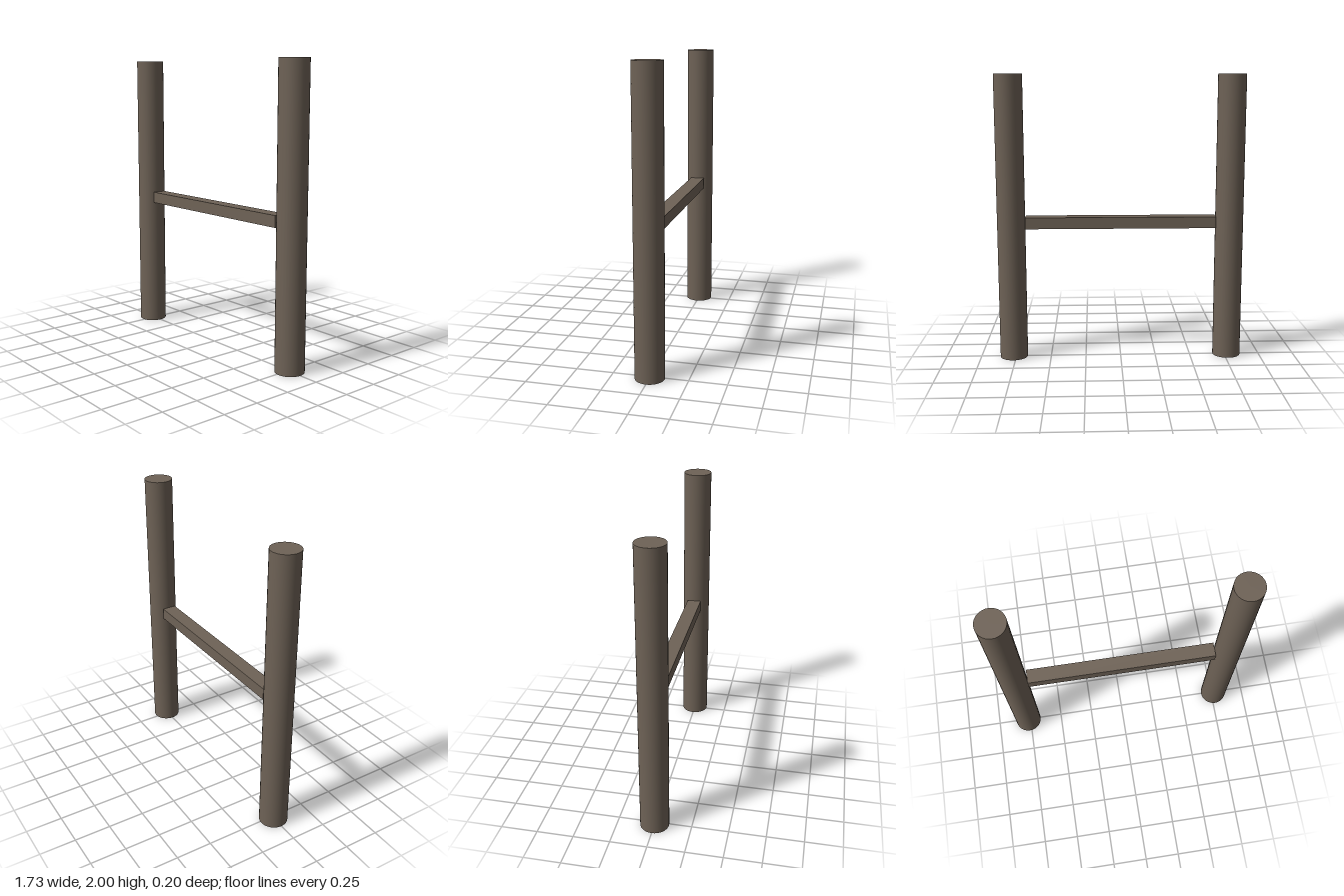
import * as THREE from 'three';

export function createModel() {
  const model = new THREE.Group();
  model.name = 'postsWithCrossbar';

  const wood = new THREE.MeshStandardMaterial({ color: 0x6e6256 });
  wood.name = 'weathered brown';

  // Two round posts, mirrored about x = 0
  const postGeometry = new THREE.CylinderGeometry(0.098, 0.098, 2, 32);
  for (const side of [1, -1]) {
    const post = new THREE.Mesh(postGeometry, wood);
    post.name = side > 0 ? 'leftPost' : 'rightPost';
    post.position.set(side * 0.766, 1, 0);
    model.add(post);
  }

  // Rectangular bar reaching just to the inner face of each post
  const crossbar = new THREE.Mesh(new THREE.BoxGeometry(1.332, 0.08, 0.1), wood);
  crossbar.name = 'crossbar';
  crossbar.position.y = 0.977;
  model.add(crossbar);

  return model;
}
